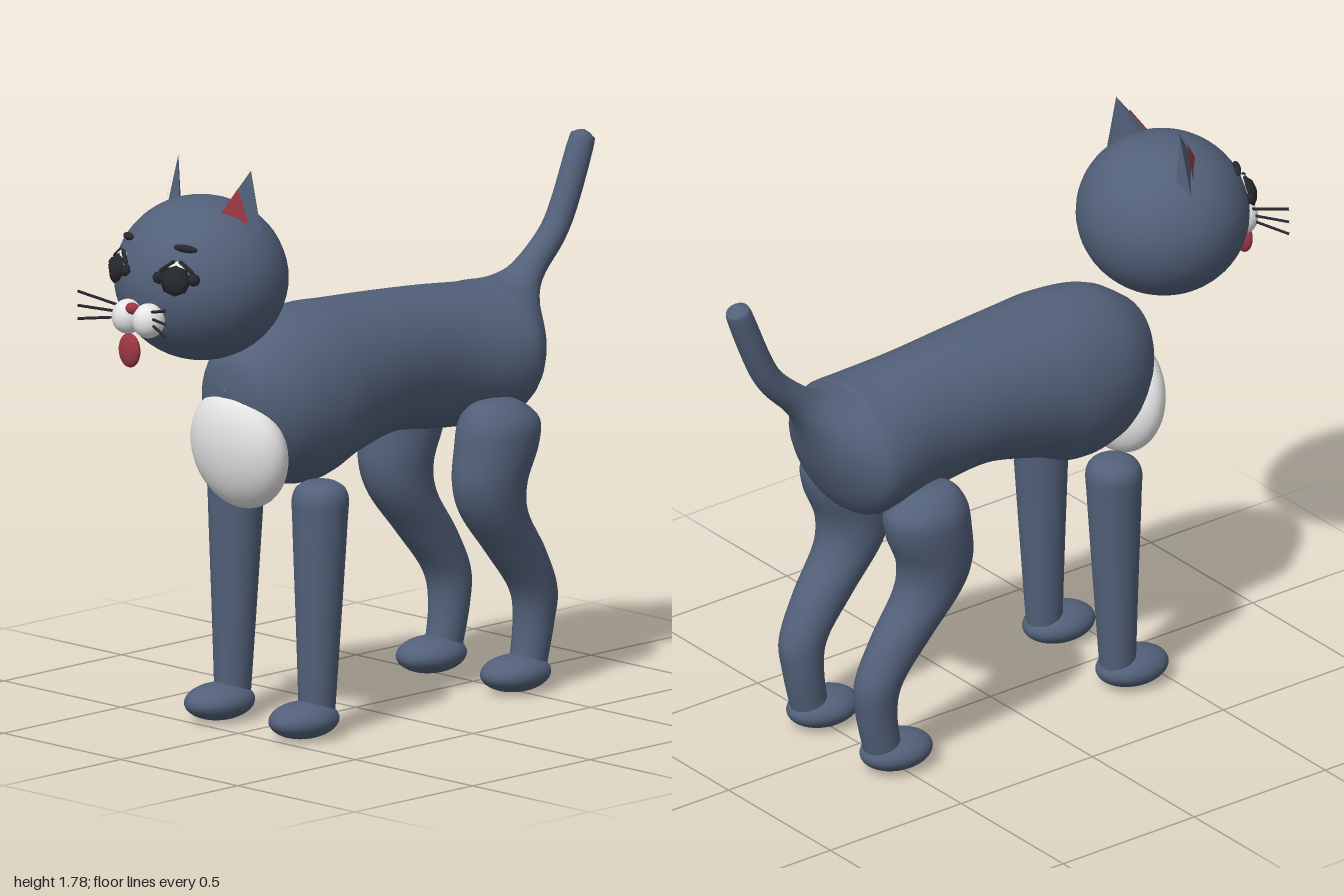
import * as THREE from 'three';
import { ConvexGeometry } from 'three/addons/geometries/ConvexGeometry.js';

const mat = (name, color, extra = {}) => {
  const m = new THREE.MeshStandardMaterial({ color, ...extra });
  m.name = name;
  return m;
};

// Skin through elliptical rings [x, y, z, pitch in degrees, half width, half height].
// Pitch 0 travels towards -z, 90 straight up, -90 straight down.
function loft(keys, steps = 6, sides = 32) {
  const pos = [], idx = [];
  const rows = (keys.length - 1) * steps;
  const cr = (a, b, c, d, t) => 0.5 * (2 * b + (c - a) * t + (2 * a - 5 * b + 4 * c - d) * t * t
    + (3 * b - a - 3 * c + d) * t * t * t);
  for (let i = 0; i <= rows; i++) {
    const k = Math.min(Math.floor(i / steps), keys.length - 2), t = i / steps - k;
    const at = n => keys[Math.max(0, Math.min(keys.length - 1, n))];
    const [x, y, z, deg, rx, rh] = keys[0].map((_, c) =>
      cr(at(k - 1)[c], at(k)[c], at(k + 1)[c], at(k + 2)[c], t));
    const b = deg * Math.PI / 180;
    for (let j = 0; j < sides; j++) {
      const a = j / sides * Math.PI * 2;
      const h = Math.max(rh, 0.001) * Math.sin(a);
      pos.push(x + Math.max(rx, 0.001) * Math.cos(a), y + h * Math.cos(b), z + h * Math.sin(b));
      if (i < rows) {
        const p = i * sides + j, q = i * sides + (j + 1) % sides;
        idx.push(p, p + sides, q, q, p + sides, q + sides);
      }
    }
  }
  const g = new THREE.BufferGeometry();
  g.setAttribute('position', new THREE.Float32BufferAttribute(pos, 3));
  g.setIndex(idx);
  g.computeVertexNormals();
  return g;
}

export function createModel() {
  const root = new THREE.Group();
  root.name = 'cat';
  const fur = mat('blueGreyFur', 0x526079);
  const white = mat('white', 0xe6e6e6);
  const red = mat('red', 0x9c3743, { side: THREE.DoubleSide });
  const black = mat('black', 0x25282e);

  const add = (name, geo, material, parent = root) => {
    const m = new THREE.Mesh(geo, material);
    m.name = name;
    parent.add(m);
    return m;
  };
  const ball = (name, material, p, r, parent = root) => {
    const m = add(name, new THREE.SphereGeometry(1, 40, 28), material, parent);
    m.position.set(...p);
    m.scale.set(...r);
    return m;
  };

  // Body flowing into the tail
  add('bodyAndTail', loft([
    [0, 1.07, 0.56, 0, 0, 0],
    [0, 1.06, 0.545, 0, 0.09, 0.10],
    [0, 1.03, 0.5, 0, 0.155, 0.18],
    [0, 1.02, 0.4, 0, 0.215, 0.25],
    [0, 1.02, 0.25, 0, 0.24, 0.273],
    [0, 1.043, 0.1, 0, 0.228, 0.243],
    [0, 1.058, -0.1, 0, 0.208, 0.217],
    [0, 1.04, -0.3, 0, 0.205, 0.22],
    [0, 1.025, -0.48, 0, 0.24, 0.215],
    [0, 1.035, -0.56, 4, 0.238, 0.203],
    [0, 1.10, -0.615, 19, 0.19, 0.142],
    [0, 1.18, -0.68, 32, 0.095, 0.075],
    [0, 1.24, -0.735, 46, 0.052, 0.05],
    [0, 1.33, -0.83, 50, 0.043, 0.043],
    [0, 1.42, -0.885, 62, 0.042, 0.042],
    [0, 1.595, -0.957, 68, 0.04, 0.04],
    [0, 1.623, -0.967, 68, 0.028, 0.028],
    [0, 1.635, -0.971, 68, 0, 0],
  ]), fur);

  // White chest patch
  ball('chest', white, [0, 0.885, 0.495], [0.185, 0.188, 0.095]).rotation.x = 0.15;

  // Head
  ball('head', fur, [0, 1.44, 0.657], [0.267, 0.25, 0.26]);

  for (const [side, s] of [['left', 1], ['right', -1]]) {
    const V = (x, y, z) => new THREE.Vector3(s * x, y, z);

    // Straight, tapered front leg with a paw
    add(side + 'FrontLeg', loft([
      [s * 0.18, 0.79, 0.33, -90, 0, 0],
      [s * 0.18, 0.782, 0.33, -90, 0.05, 0.05],
      [s * 0.18, 0.745, 0.33, -90, 0.085, 0.083],
      [s * 0.18, 0.65, 0.332, -90, 0.084, 0.082],
      [s * 0.18, 0.35, 0.338, -90, 0.069, 0.068],
      [s * 0.18, 0.07, 0.345, -90, 0.055, 0.055],
    ]), fur);
    ball(side + 'FrontPaw', fur, [s * 0.18, 0.06, 0.4], [0.093, 0.056, 0.12]);

    // Bent hind leg with a paw
    add(side + 'HindLeg', loft([
      [s * 0.2, 0.93, -0.385, -90, 0, 0],
      [s * 0.2, 0.917, -0.39, -90, 0.065, 0.08],
      [s * 0.203, 0.86, -0.405, -90, 0.11, 0.135],
      [s * 0.203, 0.78, -0.395, -90, 0.115, 0.14],
      [s * 0.2, 0.67, -0.37, -90, 0.106, 0.122],
      [s * 0.195, 0.57, -0.395, -90, 0.095, 0.11],
      [s * 0.19, 0.44, -0.49, -90, 0.08, 0.1],
      [s * 0.185, 0.31, -0.57, -90, 0.069, 0.078],
      [s * 0.18, 0.2, -0.575, -90, 0.062, 0.064],
      [s * 0.18, 0.07, -0.55, -90, 0.056, 0.06],
    ]), fur);
    ball(side + 'HindPaw', fur, [s * 0.18, 0.06, -0.5], [0.093, 0.056, 0.12]);

    // Pointed ear with a red inside
    const tip = V(0.155, 1.785, 0.6), outer = V(0.212, 1.57, 0.605), inner = V(0.095, 1.61, 0.72);
    add(side + 'Ear', new ConvexGeometry([tip, outer, inner, V(0.075, 1.6, 0.675), V(0.16, 1.57, 0.58)]), fur);
    const out = V(0.004, 0.002, 0.005);
    const mix = (a, b, t) => a.clone().lerp(b, t).add(out);
    const innerEar = new THREE.BufferGeometry().setFromPoints([
      mix(inner, tip, 0.7), mix(inner, outer, 0.82), mix(inner, outer, 0.02)]);
    innerEar.setIndex(s < 0 ? [0, 1, 2] : [0, 2, 1]);
    innerEar.computeVertexNormals();
    add(side + 'InnerEar', innerEar, red);

    // Eye: white ball, faceted dark iris and corner lashes
    const eye = new THREE.Group();
    eye.name = side + 'Eye';
    eye.position.set(s * 0.12, 1.49, 0.882);
    eye.rotation.set(-0.2, s * 0.45, 0, 'YXZ');
    root.add(eye);
    ball('eyeWhite', white, [0, 0.012, 0], [0.038, 0.041, 0.016], eye);
    const iris = add('iris', new THREE.OctahedronGeometry(1, 1), black, eye);
    iris.position.set(0, -0.006, 0.01);
    iris.scale.set(0.05, 0.048, 0.022);
    for (const e of [-1, 1]) {
      const lash = add('eyeCorner', new THREE.OctahedronGeometry(1, 1), black, eye);
      lash.position.set(e * 0.055, 0, 0.002);
      lash.scale.set(0.022, 0.02, 0.016);
      const lid = add('eyeLid', new THREE.CapsuleGeometry(0.007, 0.045, 4, 8), black, eye);
      lid.position.set(e * 0.03, 0.036, 0.004);
      lid.rotation.z = e * 0.95;
    }

    // Eyebrow
    const brow = ball(side + 'Eyebrow', black, [s * 0.122, 1.577, 0.845], [0.038, 0.012, 0.012]);
    brow.rotation.set(0, s * 0.5, -s * 0.1);

    // Muzzle and whiskers
    ball(side + 'Muzzle', white, [s * 0.044, 1.355, 0.925], [0.049, 0.053, 0.05]);
    for (const [y0, y1] of [[1.385, 1.42], [1.367, 1.376], [1.352, 1.335]]) {
      const path = new THREE.LineCurve3(V(0.06, y0, 0.935), V(0.19, y1, 0.993));
      add(side + 'Whisker', new THREE.TubeGeometry(path, 1, 0.0045, 6), black);
    }
  }

  // Nose and tongue
  ball('nose', red, [0, 1.39, 0.95], [0.024, 0.018, 0.017]);
  ball('tongue', red, [0, 1.263, 0.962], [0.042, 0.053, 0.02]);

  return root;
}
